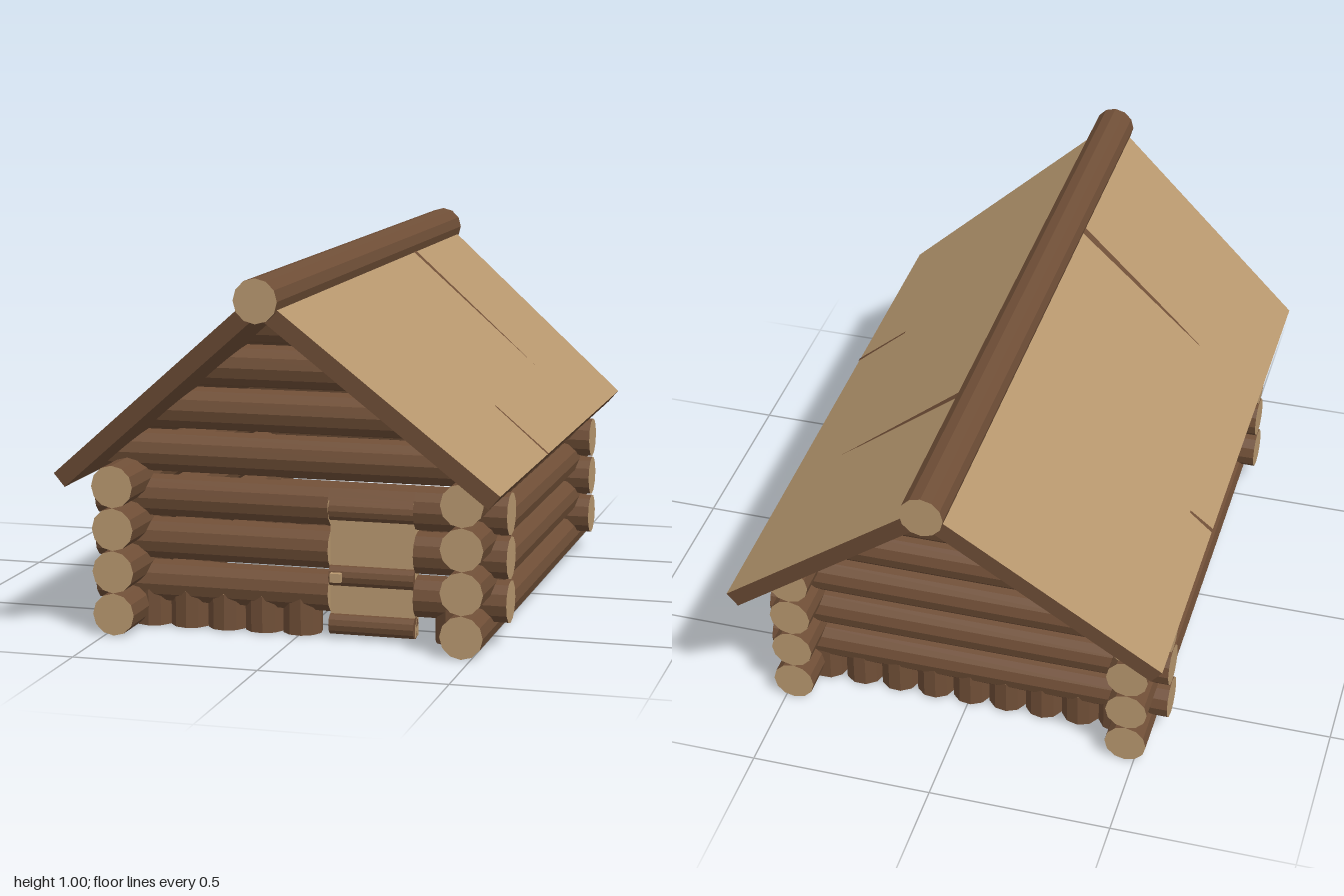
import * as THREE from 'three';

export function createModel() {
  const model = new THREE.Group();
  const bark = new THREE.MeshStandardMaterial({ name: 'bark brown', color: 0x704f37, flatShading: true });
  const wood = new THREE.MeshStandardMaterial({ name: 'cut wood tan', color: 0xb8986f, flatShading: true });
  const R = 0.0575;

  const add = (name, geo, mat, x, y, z, parent = model) => {
    const mesh = new THREE.Mesh(geo, mat);
    mesh.name = name;
    mesh.position.set(x, y, z);
    parent.add(mesh);
    return mesh;
  };

  // Moves every vertex of a geometry by a rule
  const reshape = (geo, rule) => {
    const p = geo.attributes.position;
    const v = new THREE.Vector3();
    for (let i = 0; i < p.count; i++) {
      v.fromBufferAttribute(p, i);
      rule(v);
      p.setXYZ(i, v.x, v.y, v.z);
    }
    geo.computeVertexNormals();
    return geo;
  };

  const logMats = [bark, wood, wood];
  const logX = (length, r = R) => new THREE.CylinderGeometry(r, r, length, 12).rotateZ(Math.PI / 2);
  const logZ = (length, r = R) => new THREE.CylinderGeometry(r, r, length, 12).rotateX(Math.PI / 2);
  const span = (name, x0, x1, y, z) => add(name, logX(x1 - x0), logMats, (x0 + x1) / 2, y, z);

  // Side walls
  for (const x of [-0.475, 0.475])
    for (let i = 0; i < 4; i++) add('sideLog', logZ(1.5), logMats, x, 0.0575 + i * 0.1155, 0.015);

  // Front wall, cut for the door, and back wall
  const doorL = 0.085, doorR = 0.317, frontZ = 0.59, backZ = -0.585, doorTop = 0.375;
  for (let i = 0; i < 3; i++) {
    const y = 0.119 + i * 0.1175;
    span('frontLog', -0.568, doorL, y, frontZ);
    span('frontLog', doorR, 0.568, y, frontZ);
    span('backLog', -0.568, 0.568, y, backZ);
  }
  const lintelY = 0.354;
  const lintel = reshape(logX(doorR - doorL), v => { v.y = Math.max(v.y, doorTop - lintelY); });
  add('doorLintel', lintel, logMats, (doorL + doorR) / 2, lintelY, frontZ);

  // Gable logs, their ends cut to the roof slope
  for (const z of [frontZ, backZ])
    for (let i = 0; i < 4; i++) {
      const y = 0.477 + i * 0.1195;
      const geo = reshape(logX(2), v => {
        v.x = Math.sign(v.x) * (0.568 - 1.16 * (y + v.y - 0.42));
      });
      add('gableLog', geo, bark, 0, y, z);
    }

  // Short upright foundation stubs below the end walls
  for (const z of [frontZ, backZ])
    for (let i = 0; i < 9; i++) {
      const x = -0.42 + i * 0.105;
      if (z > 0 && x > doorL - 0.03 && x < doorR + 0.03) continue;
      const stub = add('foundationStub', new THREE.CylinderGeometry(0.054, 0.054, 0.1, 10), logMats, x, 0.052, z);
      stub.rotation.y = i * 1.3;
    }

  // Door with cross bars and a handle
  const door = new THREE.Group();
  door.name = 'door';
  model.add(door);
  const doorX = (doorL + doorR) / 2, doorW = doorR - doorL;
  add('doorPanel', new THREE.BoxGeometry(doorW, 0.36, 0.04), wood, doorX, 0.19, 0.6, door);
  for (const y of [0.036, 0.168, 0.345])
    add('doorBar', logX(doorW, 0.03), bark, doorX, y, 0.612, door);
  add('doorHandle', new THREE.BoxGeometry(0.03, 0.024, 0.03), wood, 0.108, 0.168, 0.642, door);

  // Roof slopes: tan on top, bark elsewhere, narrower at the eaves
  const L = 0.745, T = 0.046;
  const flat = points => new THREE.ShapeGeometry(
    new THREE.Shape(points.map(([s, z]) => new THREE.Vector2(s, -z)))).rotateX(-Math.PI / 2);
  for (const turn of [0, Math.PI]) {
    const half = new THREE.Group();
    half.name = turn ? 'rightRoof' : 'leftRoof';
    half.rotation.y = turn;
    const slope = new THREE.Group();
    slope.name = 'roofSlope';
    slope.position.set(0.03, 0.9375, 0);
    slope.rotation.z = -Math.atan(0.853);
    half.add(slope);
    model.add(half);
    const slab = reshape(new THREE.BoxGeometry(L, T, 2), v => {
      v.z *= 0.985 - 0.12 * (v.x / L + 0.5);
    });
    add('roofSlab', slab, [bark, bark, wood, bark, bark, bark], L / 2, -T / 2, 0, slope);
    // Cracks in the roof surface
    add('roofCrack', flat([[0.02, -0.41], [0.525, -0.38], [0.4, -0.397], [0.02, -0.44]]), bark, 0, 0.002, 0, slope);
    const start = turn ? 0.66 : 0.55;
    add('eaveCrack', flat([[start, 0.265], [L, 0.268], [L, 0.252], [start, 0.256]]), bark, 0, 0.002, 0, slope);
  }

  // Ridge log
  add('ridgeLog', logZ(2), logMats, 0, 0.9425, 0);

  return model;
}
